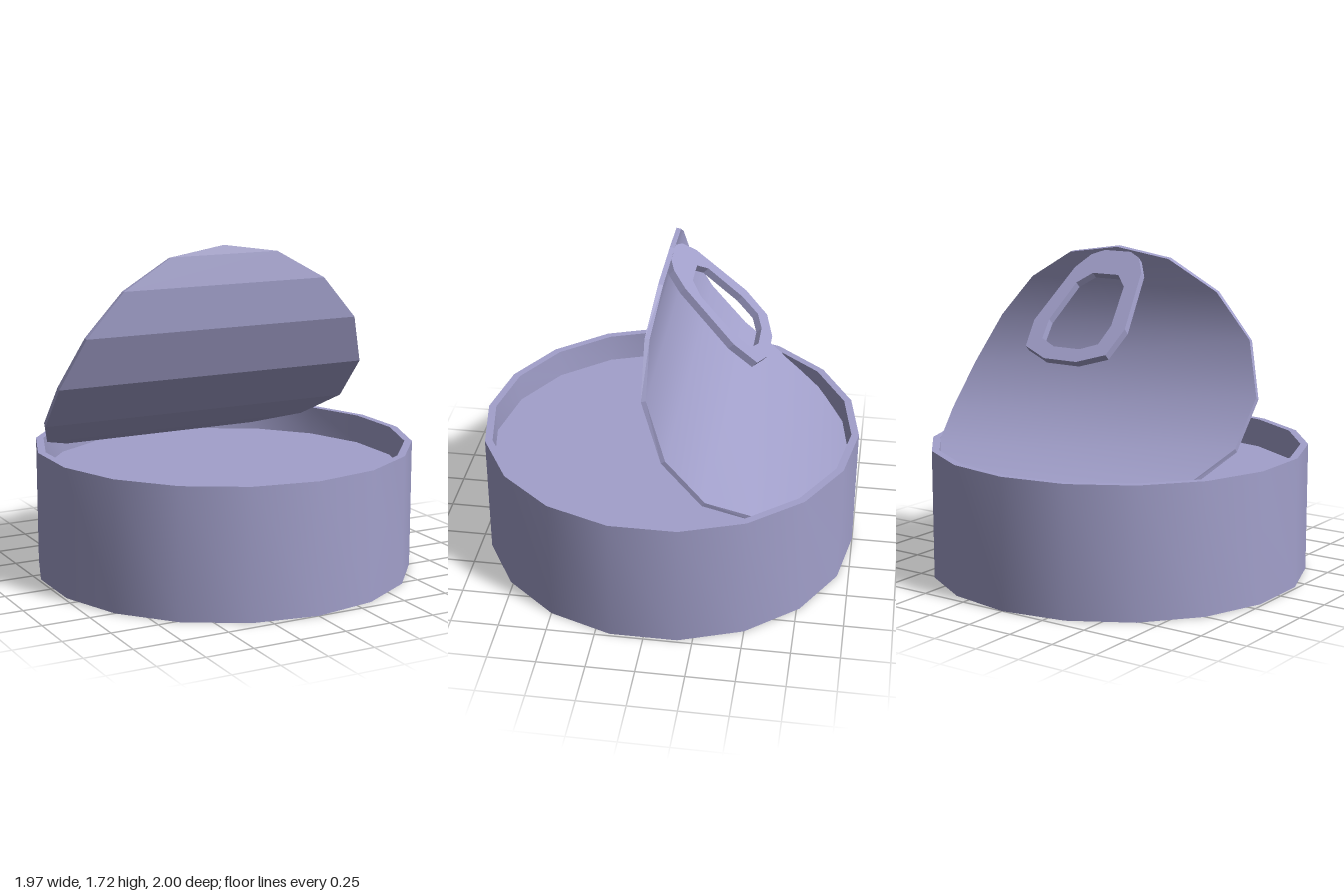
import * as THREE from 'three';
import { toCreasedNormals } from 'three/addons/utils/BufferGeometryUtils.js';

const material = new THREE.MeshStandardMaterial({ color: 0xa2a0cb });

function part(name, geometry) {
  const mesh = new THREE.Mesh(geometry, material);
  mesh.name = name;
  return mesh;
}

// Non-indexed geometry from quads given as four corners, counter-clockwise
function quads(list, crease) {
  const pos = [];
  for (const [a, b, c, d] of list) for (const p of [a, b, c, a, c, d]) pos.push(...p);
  const g = new THREE.BufferGeometry();
  g.setAttribute('position', new THREE.Float32BufferAttribute(pos, 3));
  g.computeVertexNormals();
  return toCreasedNormals(g, crease);
}

// Open can: 18-sided wall, rim and sunken content surface in one closed profile
function createCan() {
  const profile = [[0, 0], [1, 0], [1, 0.68], [0.96, 0.68], [0.96, 0.525], [0, 0.525]]
    .map(([r, y]) => new THREE.Vector2(r, y));
  return part('can', toCreasedNormals(new THREE.LatheGeometry(profile, 18), 0.6));
}

// Peeled lid: an 18-sided disc curled along a side profile
function createLid() {
  const radius = 0.913, thickness = 0.025;
  const curl = [[0.008, 1.717], [0.02, 1.67], [0.045, 1.515], [0.032, 1.285], [-0.08, 1.015],
    [-0.28, 0.785], [-0.53, 0.642], [-0.75, 0.565], [-0.895, 0.535], [-0.95, 0.53]];
  const stations = curl.map(([z, y], i) => {
    const [z0, y0] = curl[Math.max(i - 1, 0)];
    const [z1, y1] = curl[Math.min(i + 1, curl.length - 1)];
    const len = Math.hypot(z1 - z0, y1 - y0);
    const w = radius * Math.sin(i * Math.PI / 9);
    const bz = z + thickness * (y1 - y0) / len;
    const by = y - thickness * (z1 - z0) / len;
    return { fl: [w, y, z], fr: [-w, y, z], bl: [w, by, bz], br: [-w, by, bz] };
  });
  const under = [], edges = [], upper = [];
  for (let i = 0; i < stations.length - 1; i++) {
    const a = stations[i], b = stations[i + 1];
    under.push([b.fr, b.fl, a.fl, a.fr]);
    upper.push([b.bl, b.br, a.br, a.bl]);
    edges.push([b.fl, b.bl, a.bl, a.fl], [b.br, b.fr, a.fr, a.br]);
  }
  const lid = new THREE.Group();
  lid.name = 'lid';
  lid.add(part('lidUnderside', quads(under, 0.02)),
    part('lidTop', quads(upper, 0.6)),
    part('lidEdge', quads(edges, 0.02)));
  return lid;
}

// Pull tab: a holed plate tilted 45 degrees off the lid's raised end
function createTab() {
  // Half outlines as (x, horizontal distance), mirrored counter-clockwise
  // and stretched to the tilted plane
  const outline = half => [...half.map(([x, d]) => [-x, d]), ...half.slice().reverse()]
    .map(([x, d]) => new THREE.Vector2(x, -d * Math.SQRT2));
  const shape = new THREE.Shape(outline(
    [[0.08, 0.01], [0.15, 0.035], [0.21, 0.1], [0.285, 0.355], [0.25, 0.472], [0.1, 0.515]]));
  shape.holes.push(new THREE.Path(outline(
    [[0.08, 0.12], [0.15, 0.17], [0.195, 0.345], [0.175, 0.43], [0.08, 0.46]])));
  const geometry = new THREE.ExtrudeGeometry(shape, { depth: 0.038, bevelEnabled: false });
  const tab = part('pullTab', geometry);
  tab.rotation.x = Math.PI / 4;
  tab.position.set(0, 1.7, 0);
  return tab;
}

export function createModel() {
  const model = new THREE.Group();
  model.name = 'openedCan';
  model.add(createCan(), createLid(), createTab());
  return model;
}
